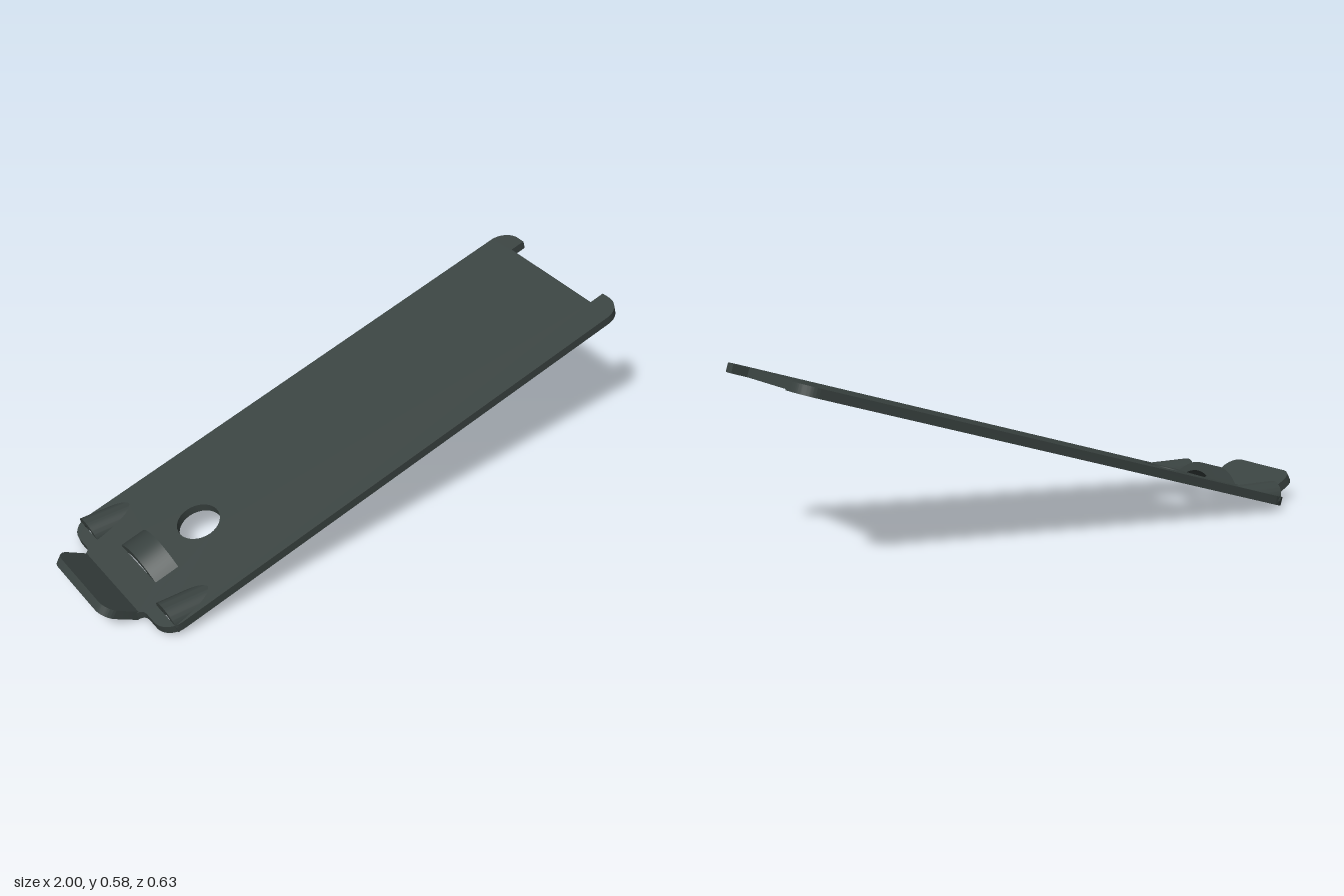
import * as THREE from 'three';
import { toCreasedNormals } from 'three/addons/utils/BufferGeometryUtils.js';

const T = 0.031;                    // sheet thickness
const TILT = 0.2865;                // slope of the main plate
const BEND = 0.517;                 // slope of the front tab
const X0 = -0.877;                  // x of the bend line
const SIN = Math.sin(TILT), COS = Math.cos(TILT);
const MITRE = Math.tan((TILT + BEND) / 2);
const HOOD = { z: 0.255, y: 0.035, foot: 0.02, inner: 0.031, outer: 0.06, u: 0.07 };

// Lay a flat outline down as sheet metal, mitred where it meets the bend line
function sheet(shape, mitre) {
  const geo = new THREE.ExtrudeGeometry(shape, { depth: T, bevelEnabled: false, curveSegments: 16 });
  geo.rotateX(-Math.PI / 2);
  const p = geo.attributes.position;
  for (let i = 0; i < p.count; i++) {
    if (Math.abs(p.getX(i)) < 1e-4) p.setX(i, p.getY(i) * mitre);
  }
  return toCreasedNormals(geo, 0.5);
}

function plateShape() {
  const L = 1.956, W = 0.317, R = 0.07, F = 0.028;
  const s = new THREE.Shape();
  s.moveTo(0, -0.173);
  s.quadraticCurveTo(F, -0.175, F, -0.205);
  s.lineTo(F, -W + R);
  s.absarc(F + R, -W + R, R, Math.PI, Math.PI * 1.5, false);
  s.absarc(L - R, -W + R, R, -Math.PI / 2, 0, false);
  s.lineTo(L, -0.215);
  s.lineTo(1.9, -0.215);
  s.lineTo(1.9, 0.215);
  s.lineTo(L, 0.215);
  s.absarc(L - R, W - R, R, 0, Math.PI / 2, false);
  s.absarc(F + R, W - R, R, Math.PI / 2, Math.PI, false);
  s.lineTo(F, 0.205);
  s.quadraticCurveTo(F, 0.175, 0, 0.173);

  // Round hole
  const round = new THREE.Path();
  round.absarc(0.36, 0, 0.074, 0, Math.PI * 2, true);
  // Slot under the raised strap
  const slot = new THREE.Path([[0.117, -0.112], [0.117, 0.112], [0.207, 0.112], [0.207, -0.112]]
    .map(([x, y]) => new THREE.Vector2(x, y)));
  s.holes.push(round, slot);
  // Openings below the two hoods
  for (const side of [-1, 1]) {
    const pts = [new THREE.Vector2(HOOD.u, side * HOOD.z - HOOD.inner)];
    for (let i = 0; i <= 16; i++) {
      const a = Math.PI * i / 16;
      pts.push(new THREE.Vector2((HOOD.y + HOOD.inner * Math.sin(a)) / SIN,
        side * HOOD.z - HOOD.inner * Math.cos(a)));
    }
    pts.push(new THREE.Vector2(HOOD.u, side * HOOD.z + HOOD.inner));
    s.holes.push(new THREE.Path(pts));
  }
  return s;
}

function tabShape() {
  const L = 0.1415, W = 0.173, R = 0.05;
  const s = new THREE.Shape();
  s.moveTo(0, W);
  s.lineTo(-L + R, W);
  s.absarc(-L + R, W - R, R, Math.PI / 2, Math.PI, false);
  s.absarc(-L + R, -W + R, R, Math.PI, Math.PI * 1.5, false);
  s.lineTo(0, -W);
  return s;
}

// Horizontal arched tunnel, trimmed square at its mouth and to the plate's slope at its tail
function hoodGeometry() {
  const s = new THREE.Shape();
  s.moveTo(HOOD.outer, HOOD.foot);
  s.absarc(0, HOOD.y, HOOD.outer, 0, Math.PI, false);
  s.lineTo(-HOOD.outer, HOOD.foot);
  s.lineTo(-HOOD.inner, HOOD.foot);
  s.absarc(0, HOOD.y, HOOD.inner, Math.PI, 0, true);
  s.lineTo(HOOD.inner, HOOD.foot);
  const geo = new THREE.ExtrudeGeometry(s, { depth: 1, bevelEnabled: false, curveSegments: 20 });
  geo.rotateY(Math.PI / 2);
  const p = geo.attributes.position;
  for (let i = 0; i < p.count; i++) {
    const y = p.getY(i);
    const mouth = X0 + (HOOD.u - y * SIN) / COS;
    const tail = X0 + (y * COS - 0.0005) / SIN;
    p.setX(i, p.getX(i) < 0.5 ? mouth : Math.max(tail, mouth));
  }
  return toCreasedNormals(geo, 0.5);
}

// Strap pressed up out of the slot: an arch of constant thickness
function strapGeometry() {
  const half = 0.113, rise = 0.048, n = 20;
  const low = [], high = [];
  for (let i = 0; i <= n; i++) {
    const w = -half + 2 * half * i / n;
    const h = rise * (1 - (w / half) ** 2);
    low.push(new THREE.Vector2(w, h));
    high.unshift(new THREE.Vector2(w, h + T));
  }
  const geo = new THREE.ExtrudeGeometry(new THREE.Shape([...low, ...high]), { depth: 0.09, bevelEnabled: false });
  geo.rotateY(Math.PI / 2);
  geo.translate(0.117, 0, 0);
  return toCreasedNormals(geo, 0.5);
}

export function createModel() {
  const model = new THREE.Group();
  model.name = 'bentSheetClip';
  const steel = new THREE.MeshStandardMaterial({ color: 0x3a4341 });
  steel.name = 'darkSteel';
  const add = (parent, name, geo) => {
    const mesh = new THREE.Mesh(geo, steel);
    mesh.name = name;
    parent.add(mesh);
    return mesh;
  };

  // Sloping plate and its strap
  const body = new THREE.Group();
  body.name = 'slopingBody';
  body.position.x = X0;
  body.rotation.z = TILT;
  model.add(body);
  add(body, 'plate', sheet(plateShape(), MITRE));
  add(body, 'raisedStrap', strapGeometry());

  // Upturned end tab
  const tab = add(model, 'endTab', sheet(tabShape(), -MITRE));
  tab.position.x = X0;
  tab.rotation.z = -BEND;

  // Hoods on both corners
  const hood = hoodGeometry();
  add(model, 'leftHood', hood).position.z = HOOD.z;
  add(model, 'rightHood', hood).position.z = -HOOD.z;
  return model;
}
